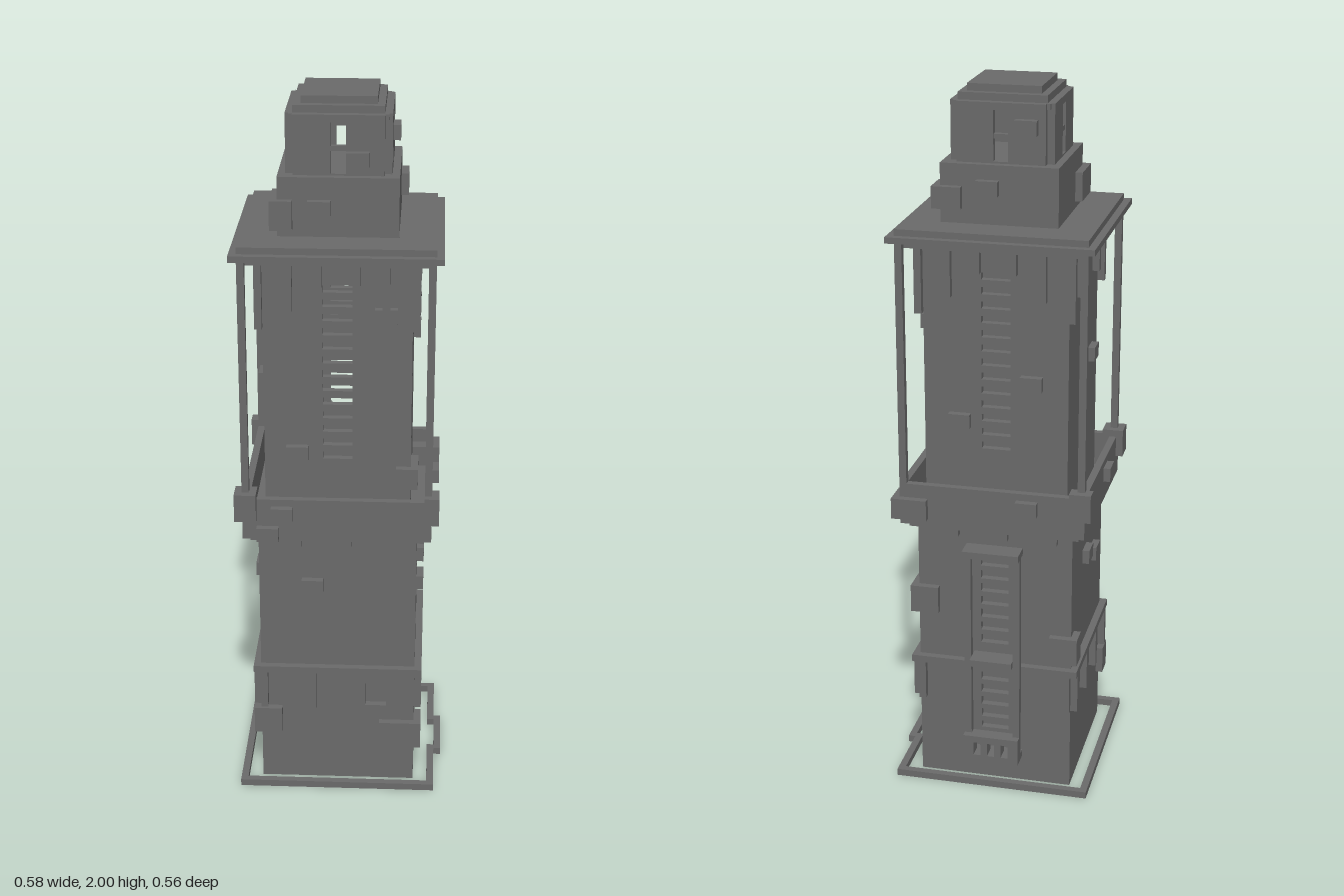
import * as THREE from 'three';

const CX = -0.01; // tower axis

export function createModel() {
  const root = new THREE.Group();
  root.name = 'tower';
  const stone = new THREE.MeshStandardMaterial({ color: 0x6b6b6b });
  stone.name = 'grey stone';

  // Box from its limits
  function box(name, x0, x1, y0, y1, z0, z1, parent = root) {
    const m = new THREE.Mesh(new THREE.BoxGeometry(x1 - x0, y1 - y0, z1 - z0), stone);
    m.position.set((x0 + x1) / 2, (y0 + y1) / 2, (z0 + z1) / 2);
    m.name = name;
    parent.add(m);
    return m;
  }
  // Slab centred on the tower axis
  const slab = (name, hx, y0, y1, hz = hx) => box(name, CX - hx, CX + hx, y0, y1, -hz, hz);

  // One group per side, whose local +z points outward: front, right, back, left
  const sides = [0, 1, 2, 3].map((i) => {
    const g = new THREE.Group();
    g.name = ['front', 'plusXSide', 'back', 'minusXSide'][i];
    g.position.x = CX;
    g.rotation.y = i * Math.PI / 2;
    root.add(g);
    return g;
  });

  // Rectangular panel with rectangular holes [u0, u1, v0, v1]
  function panel(name, side, outline, holes, z0, depth) {
    const rect = (p, [a, b, c, d]) => {
      p.moveTo(a, c); p.lineTo(b, c); p.lineTo(b, d); p.lineTo(a, d); p.closePath();
      return p;
    };
    const s = rect(new THREE.Shape(), outline);
    holes.forEach((h) => s.holes.push(rect(new THREE.Path(), h)));
    const m = new THREE.Mesh(new THREE.ExtrudeGeometry(s, { depth, bevelEnabled: false }), stone);
    m.position.z = z0;
    m.name = name;
    side.add(m);
  }
  const wall = (name, i, half, y0, y1, holes = []) =>
    panel(name, sides[i], [-half, half, y0, y1], holes, half - 0.02, 0.02);

  // Ring of four bars
  function ring(name, outer, width, y0, y1) {
    sides.forEach((s) => box(name, -outer, outer, y0, y1, outer - width, outer, s));
  }

  // Base kerb, stepping out around the doorway
  [0, 2, 3].forEach((i) => box('kerb', -0.28, 0.28, 0, 0.02, 0.26, 0.28, sides[i]));
  [-1, 1].forEach((s) => {
    box('kerb', s < 0 ? -0.28 : 0.08, s < 0 ? -0.08 : 0.28, 0, 0.02, 0.26, 0.28, sides[1]);
    box('kerbReturn', s * 0.08 - 0.01, s * 0.08 + 0.01, 0, 0.02, 0.26, 0.30, sides[1]);
  });
  box('doorStep', -0.08, 0.08, 0, 0.02, 0.28, 0.30, sides[1]);

  // Lower shaft
  slab('lowerFloor', 0.21, 0.0, 0.02);
  wall('lowerWall', 0, 0.22, 0, 0.8);
  wall('lowerWall', 3, 0.22, 0, 0.8);
  wall('lowerWall', 1, 0.22, 0, 0.8, [[-0.06, 0.06, 0.02, 0.57], [-0.02, 0.02, 0.575, 0.6]]);
  wall('lowerWall', 2, 0.22, 0, 0.8, [[-0.04, 0.04, 0.42, 0.70], [-0.04, 0.04, 0.16, 0.34]]);

  // Door with two columns of slots
  const slots = [];
  [0.06, 0.16, 0.26, 0.36, 0.47].forEach((y) =>
    [-0.03, 0.03].forEach((u) => slots.push([u - 0.01, u + 0.01, y, y + 0.075])));
  panel('door', sides[1], [-0.06, 0.06, 0.02, 0.58], slots, 0.202, 0.014);
  box('doorBacking', -0.07, 0.07, 0.02, 0.62, 0.185, 0.195, sides[1]);

  // Barred opening on the back, framed by free-standing rails
  const back = sides[2];
  box('openingBacking', -0.07, 0.07, 0.1, 0.72, 0.16, 0.17, back);
  for (let y = 0.18; y < 0.7; y += 0.04) box('rung', -0.04, 0.04, y, y + 0.015, 0.20, 0.22, back);
  [-0.07, 0.07].forEach((u) => box('rail', u - 0.01, u + 0.01, 0.1, 0.74, 0.24, 0.26, back));
  box('openingHood', -0.08, 0.08, 0.72, 0.74, 0.22, 0.28, back);
  box('openingSill', -0.06, 0.06, 0.385, 0.405, 0.22, 0.28, back);
  panel('lowerGrille', back, [-0.08, 0.08, 0.08, 0.16],
    [-0.04, 0, 0.04].map((u) => [u - 0.01, u + 0.01, 0.10, 0.14]), 0.24, 0.04);
  box('grilleBracket', -0.08, 0.08, 0.08, 0.10, 0.22, 0.25, back);

  // String course with hanging strips
  ring('stringCourse', 0.24, 0.03, 0.36, 0.38);
  sides.forEach((s, i) => [-0.21, -0.07, 0.07, 0.21].forEach((u) => {
    if (i !== 2 || Math.abs(u) > 0.1) box('hangingStrip', u - 0.01, u + 0.01, 0.245, 0.36, 0.22, 0.24, s);
  }));

  // Corbels and balcony
  ring('corbelBand', 0.24, 0.03, 0.785, 0.8);
  sides.forEach((s) => [-0.14, 0, 0.14].forEach((u) =>
    box('corbel', u - 0.04, u + 0.04, 0.765, 0.8, 0.21, 0.24, s)));
  slab('balconyFloor', 0.26, 0.8, 0.82);
  ring('parapet', 0.26, 0.02, 0.8, 0.92);

  // Upper shaft with barred slots
  [0, 2].forEach((i) => {
    wall('upperWall', i, 0.2, 0.82, 1.6, [[-0.04, 0.04, 1.02, 1.52]]);
    for (let k = 0; k < 12; k++)
      box('slotBar', -0.04, 0.04, 1.04 + k * 0.04, 1.06 + k * 0.04, 0.18, 0.2, sides[i]);
  });
  [1, 3].forEach((i) => {
    const s = sides[i];
    wall('upperWall', i, 0.2, 0.82, 1.6, [[-0.04, 0.04, 0.92, 1.52]]);
    [-0.03, 0.03].forEach((u) => box('slotJamb', u - 0.01, u + 0.01, 0.92, 1.44, 0.18, 0.195, s));
    box('slotSill', -0.02, 0.02, 0.92, 0.96, 0.18, 0.195, s);
    [1.0, 1.08, 1.14, 1.2, 1.26, 1.34, 1.4].forEach((y) =>
      box('slotBar', -0.02, 0.02, y, y + 0.016, 0.18, 0.195, s));
    [1.435, 1.47, 1.50].forEach((y) => box('slotHeadBar', -0.04, 0.04, y, y + 0.014, 0.18, 0.195, s));
    [-0.02, 0.02].forEach((u) => box('slotHeadPost', u - 0.006, u + 0.006, 1.44, 1.52, 0.18, 0.195, s));
  });

  // Corner posts carrying the cornice
  [-1, 1].forEach((a) => [-1, 1].forEach((b) => {
    const x = CX + a * 0.25, z = b * 0.25;
    box('cornerPost', x - 0.01, x + 0.01, 0.92, 1.6, z - 0.01, z + 0.01);
  }));

  // Cornice and its hanging strips
  slab('corniceFrieze', 0.24, 1.585, 1.605);
  slab('corniceLower', 0.28, 1.605, 1.622);
  slab('corniceUpper', 0.26, 1.62, 1.64);
  sides.forEach((s) => [[0.21, 1.4], [0.13, 1.45], [0.05, 1.52]].forEach(([u, y]) =>
    [-u, u].forEach((v) => box('corniceStrip', v - 0.01, v + 0.01, y, 1.59, 0.2, 0.22, s))));

  // Plinth, lantern and stepped roof
  slab('lanternPlinth', 0.16, 1.64, 1.8);
  sides.forEach((s, i) => {
    panel('lanternWall', s, [-0.12, 0.12, 1.8, 1.96], [[-0.02, 0.02, 1.805, 1.94]], 0.12, 0.02);
    box('lanternBar', -0.02, 0.02, 1.865, 1.878, 0.122, 0.138, s);
  });
  slab('lanternCeiling', 0.13, 1.945, 1.96, 0.13);
  slab('roofStep', 0.12, 1.96, 1.98);
  slab('roofCap', 0.1, 1.98, 2.0);

  // Projecting stones on the faces: side, centre u, y0, y1, wall half-width
  [
    [0, -0.07, 0.62, 0.66, 0.22], [0, 0.11, 0.22, 0.26, 0.22],
    [1, -0.07, 0.66, 0.70, 0.22], [1, -0.13, 0.60, 0.64, 0.22],
    [3, -0.04, 0.64, 0.68, 0.22], [3, 0.07, 0.60, 0.64, 0.22],
    [0, -0.15, 0.86, 0.90, 0.26], [0, -0.19, 0.80, 0.84, 0.26],
    [1, 0.11, 0.82, 0.86, 0.26], [1, -0.09, 0.80, 0.84, 0.26],
    [2, 0.10, 0.86, 0.90, 0.26], [3, 0.05, 0.86, 0.90, 0.26],
    [0, -0.11, 1.02, 1.06, 0.2], [0, 0.13, 1.42, 1.46, 0.2],
    [1, 0.13, 1.34, 1.38, 0.2], [1, 0.09, 1.28, 1.32, 0.2],
    [2, -0.10, 1.08, 1.12, 0.2], [2, 0.10, 1.20, 1.24, 0.2], [3, 0.10, 1.20, 1.24, 0.2],
    [0, -0.05, 1.70, 1.74, 0.16], [2, -0.03, 1.72, 1.76, 0.16],
    [0, 0.05, 1.825, 1.865, 0.14], [1, -0.05, 1.88, 1.92, 0.14], [2, 0.07, 1.88, 1.92, 0.14],
  ].forEach(([i, u, y0, y1, h]) => box('projectingStone', u - 0.03, u + 0.03, y0, y1, h - 0.01, h + 0.02, sides[i]));

  // Stones wrapping the corners: x0, x1, y0, y1, z0, z1
  [
    [-0.25, -0.17, 0.16, 0.24, 0.18, 0.24], [0.11, 0.23, 0.12, 0.20, 0.16, 0.24],
    [0.15, 0.23, 0.52, 0.60, -0.24, -0.16], [-0.25, -0.17, 0.40, 0.48, -0.24, -0.18],
    [-0.29, -0.23, 0.86, 0.94, 0.22, 0.28], [0.17, 0.27, 0.82, 0.88, -0.28, -0.20],
    [0.23, 0.27, 0.86, 0.94, 0.22, 0.28], [-0.29, -0.23, 0.86, 0.94, -0.28, -0.24],
    [0.15, 0.21, 0.94, 1.0, 0.12, 0.22],
    [-0.19, -0.13, 1.66, 1.74, 0.06, 0.18], [0.09, 0.17, 1.68, 1.74, -0.18, -0.10],
  ].forEach((b) => box('cornerStone', ...b));

  return root;
}
